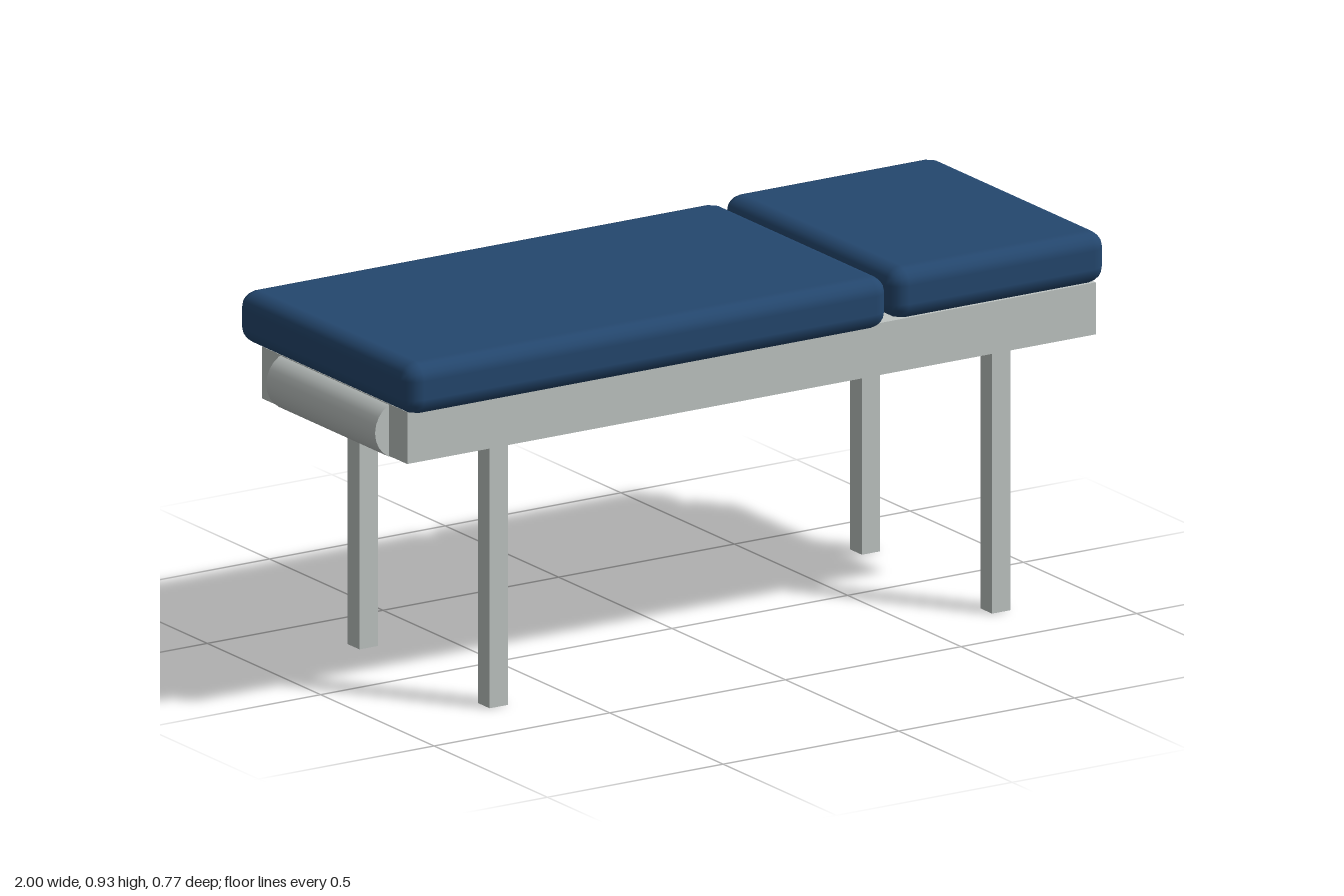
import * as THREE from 'three';
import { RoundedBoxGeometry } from 'three/addons/geometries/RoundedBoxGeometry.js';

export function createModel() {
  const model = new THREE.Group();
  model.name = 'treatmentTable';

  const upholstery = new THREE.MeshStandardMaterial({ color: 0x24476e });
  upholstery.name = 'navy upholstery';
  const metal = new THREE.MeshStandardMaterial({ color: 0xbfc5c3 });
  metal.name = 'pale grey metal';

  function add(name, geometry, material, x, y, z) {
    const mesh = new THREE.Mesh(geometry, material);
    mesh.name = name;
    mesh.position.set(x, y, z);
    model.add(mesh);
    return mesh;
  }

  // Padded cushions; the head section sits slightly higher
  add('mainCushion', new RoundedBoxGeometry(1.37, 0.13, 0.77, 2, 0.042), upholstery, -0.31, 0.85, 0);
  add('headCushion', new RoundedBoxGeometry(0.61, 0.13, 0.77, 2, 0.042), upholstery, 0.69, 0.861, 0);

  // Box frame under the cushions
  add('frame', new THREE.BoxGeometry(1.96, 0.13, 0.64), metal, 0.02, 0.717, 0);

  // Paper roll across the foot end
  const roll = add('paperRoll', new THREE.CylinderGeometry(0.073, 0.073, 0.48, 24), metal, -0.927, 0.715, 0);
  roll.rotation.x = Math.PI / 2;

  // Four square legs
  for (const [end, x] of [['foot', -0.695], ['head', 0.735]]) {
    for (const [side, z] of [['Front', 0.287], ['Back', -0.287]]) {
      add(`${end}${side}Leg`, new THREE.BoxGeometry(0.052, 0.652, 0.052), metal, x, 0.326, z);
    }
  }

  return model;
}
